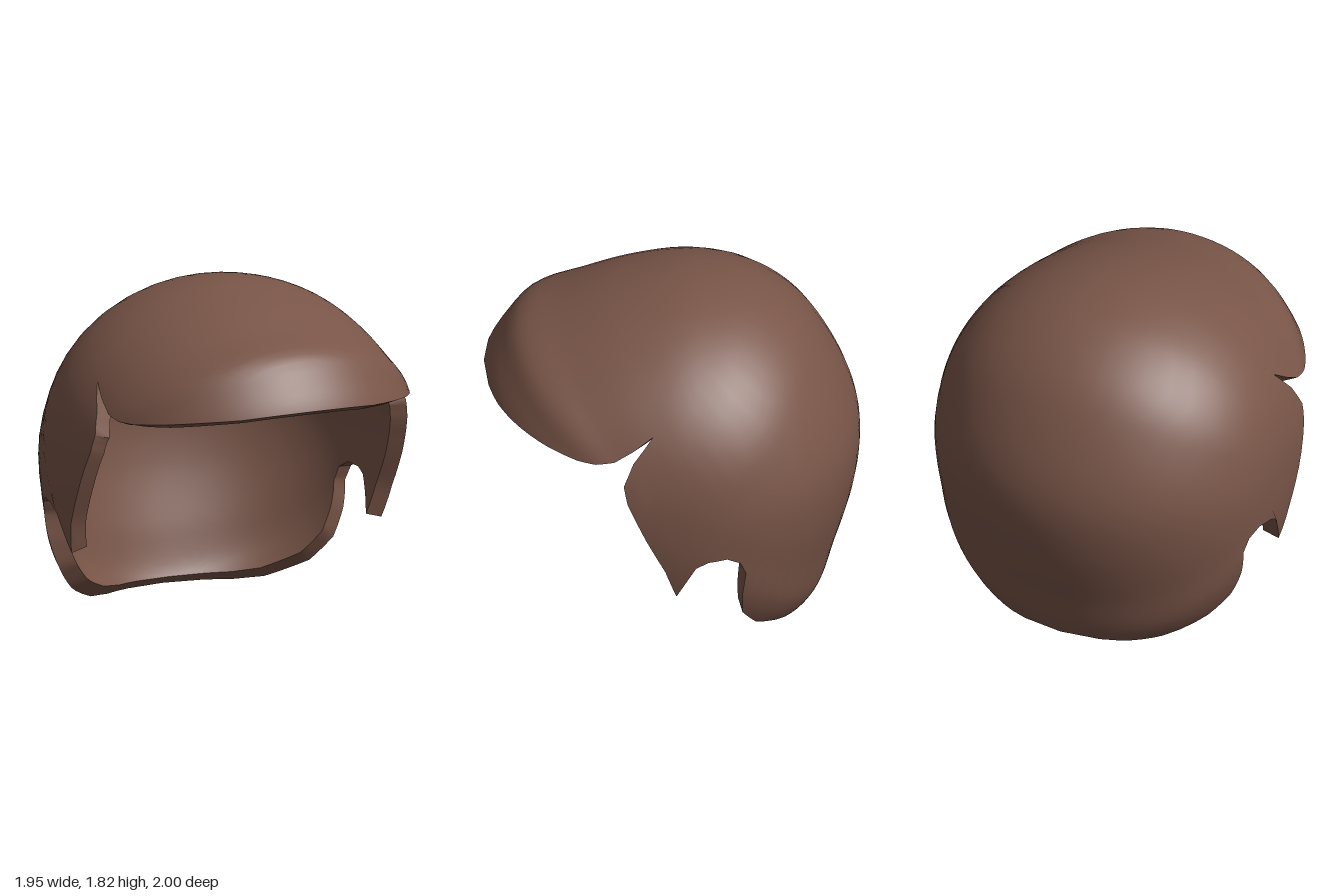
import * as THREE from 'three';
import { toCreasedNormals } from 'three/addons/utils/BufferGeometryUtils.js';

const WIDTH = 0.975, POWER = 2.3, THICK = 0.095;
const CZ = -0.05, CY = 0.85; // centre of the shell in the side plane
const SUB = 3, HALF = 14;

// Midline profile as [z, y]; the last points close the loop under the opening
const profile = [
  [1, 1.31], [0.92, 1.45], [0.82, 1.575], [0.6, 1.66], [0.3, 1.76], [0, 1.815], [-0.2, 1.81],
  [-0.4, 1.765], [-0.6, 1.66], [-0.75, 1.52], [-0.9, 1.27], [-0.98, 1.05], [-1, 0.87],
  [-0.97, 0.62], [-0.88, 0.3], [-0.78, 0],
  [-0.6, -0.17], [-0.3, -0.27], [0.1, -0.3], [0.6, 0], [1, 0.5], [1.08, 1],
];

// Spokes: rim point [z, y] and the midline point [z, y] it sweeps up to
const spokes = [
  // visor edge
  [1, 1.31, 1, 1.31], [0.92, 1.285, 0.95, 1.4], [0.8, 1.265, 0.85, 1.55], [0.65, 1.24, 0.7, 1.62],
  [0.5, 1.22, 0.5, 1.69], [0.4, 1.22, 0.35, 1.74], [0.3, 1.24, 0.17, 1.79], [0.2, 1.3, 0, 1.815],
  // notch and cheek guard
  [0.09, 1.38, -0.2, 1.81], [0.2, 1.24, -0.25, 1.8], [0.25, 1.12, -0.3, 1.79], [0.23, 1.02, -0.36, 1.77],
  [0.13, 0.8, -0.44, 1.75], [0.03, 0.6, -0.52, 1.71], [-0.03, 0.42, -0.6, 1.66],
  // ear cut-out
  [-0.08, 0.52, -0.66, 1.61], [-0.13, 0.62, -0.72, 1.55], [-0.2, 0.66, -0.8, 1.45], [-0.3, 0.67, -0.91, 1.25],
  [-0.37, 0.63, -0.97, 1.08], [-0.4, 0.55, -1, 0.9], [-0.38, 0.4, -0.99, 0.73], [-0.38, 0.25, -0.96, 0.57],
  // neck edge
  [-0.45, 0.12, -0.92, 0.42], [-0.6, 0.02, -0.87, 0.26], [-0.69, 0, -0.83, 0.13], [-0.78, 0, -0.78, 0],
];

const vec = (z, y) => new THREE.Vector3(0, y, z);
const outline = new THREE.CatmullRomCurve3(profile.map(([z, y]) => vec(z, y)), true, 'centripetal').getPoints(260);

// Distance from the centre as a fraction of the profile's radius in that direction
function fraction(z, y) {
  const dz = z - CZ, dy = y - CY;
  for (let i = 0; i < outline.length - 1; i++) {
    const az = outline[i].z - CZ, ay = outline[i].y - CY;
    const bz = outline[i + 1].z - CZ, by = outline[i + 1].y - CY;
    const a = az * dy - ay * dz, b = dz * by - dy * bz;
    if (a >= 0 && b >= 0 && az * dz + ay * dy > 0) return (a + b) / (az * by - ay * bz);
  }
  return 0;
}
const toProfile = (p) => {
  const f = fraction(p.z, p.y);
  return vec(CZ + (p.z - CZ) / f, CY + (p.y - CY) / f);
};
const halfWidth = (z, y) => WIDTH * Math.sqrt(Math.max(0, 1 - fraction(z, y) ** POWER));

// Outward normal from the gradient of the shell's implicit equation
function normalAt(p) {
  const e = 0.012, g = (z, y) => fraction(z, y) ** POWER;
  return new THREE.Vector3(
    (2 * p.x) / (WIDTH * WIDTH),
    (g(p.z, p.y + e) - g(p.z, p.y - e)) / (2 * e),
    (g(p.z + e, p.y) - g(p.z - e, p.y)) / (2 * e),
  ).normalize();
}

// Rows run front to back, columns from the left rim over the midline to the right rim
function buildRows() {
  const crest = new THREE.CatmullRomCurve3(spokes.map((s) => vec(s[2], s[3])), false, 'centripetal');
  const rows = [], last = (spokes.length - 1) * SUB;
  for (let i = 0; i <= last; i++) {
    const k = Math.min(Math.floor(i / SUB), spokes.length - 2);
    const a = spokes[k], b = spokes[k + 1];
    const top = toProfile(crest.getPoint(i / last));
    const rim = i === 0 || i === last ? top : vec(a[0], a[1]).lerp(vec(b[0], b[1]), i / SUB - k);
    const row = [];
    for (let j = 0; j <= 2 * HALF; j++) {
      const t = 1 - Math.abs(j - HALF) / HALF;
      const p = rim.clone().lerp(top, Math.sin((t * Math.PI) / 2));
      p.x = j === HALF || rim === top ? 0 : Math.sign(HALF - j) * halfWidth(p.z, p.y);
      row.push({ p, n: normalAt(p) });
    }
    rows.push(row);
  }
  return rows;
}

function gridGeometry(rows, inside) {
  const pos = [], nor = [], index = [], cols = rows[0].length;
  for (const { p, n } of rows.flat()) {
    pos.push(...(inside ? p.clone().addScaledVector(n, -THICK) : p).toArray());
    nor.push(...n.clone().multiplyScalar(inside ? -1 : 1).toArray());
  }
  for (let i = 0; i < rows.length - 1; i++) {
    for (let j = 0; j < cols - 1; j++) {
      const a = i * cols + j, b = a + cols, c = a + 1, d = b + 1;
      if (inside) index.push(a, c, b, c, d, b);
      else index.push(a, b, c, c, b, d);
    }
  }
  const geo = new THREE.BufferGeometry();
  geo.setAttribute('position', new THREE.Float32BufferAttribute(pos, 3));
  geo.setAttribute('normal', new THREE.Float32BufferAttribute(nor, 3));
  geo.setIndex(index);
  return geo;
}

// Wall joining the outer and inner surfaces around the whole opening
function rimGeometry(rows) {
  const loop = [...rows.map((r) => r[0]), ...rows.slice(1, -1).reverse().map((r) => r[2 * HALF])];
  const pos = [], index = [], n = loop.length;
  loop.forEach((v) => pos.push(...v.p.toArray(), ...v.p.clone().addScaledVector(v.n, -THICK).toArray()));
  for (let i = 0; i < n; i++) {
    const a = 2 * i, b = 2 * ((i + 1) % n);
    index.push(b, a, a + 1, b, a + 1, b + 1);
  }
  const geo = new THREE.BufferGeometry();
  geo.setAttribute('position', new THREE.Float32BufferAttribute(pos, 3));
  geo.setIndex(index);
  return toCreasedNormals(geo, 0.6);
}

export function createModel() {
  const group = new THREE.Group();
  group.name = 'helmet';
  const material = new THREE.MeshStandardMaterial({ color: 0x795548, side: THREE.DoubleSide });
  const rows = buildRows();
  const add = (name, geo) => {
    const mesh = new THREE.Mesh(geo, material);
    mesh.name = name;
    group.add(mesh);
  };
  add('outerShell', gridGeometry(rows, false));
  add('innerShell', gridGeometry(rows, true));
  add('rimEdge', rimGeometry(rows));
  return group;
}
